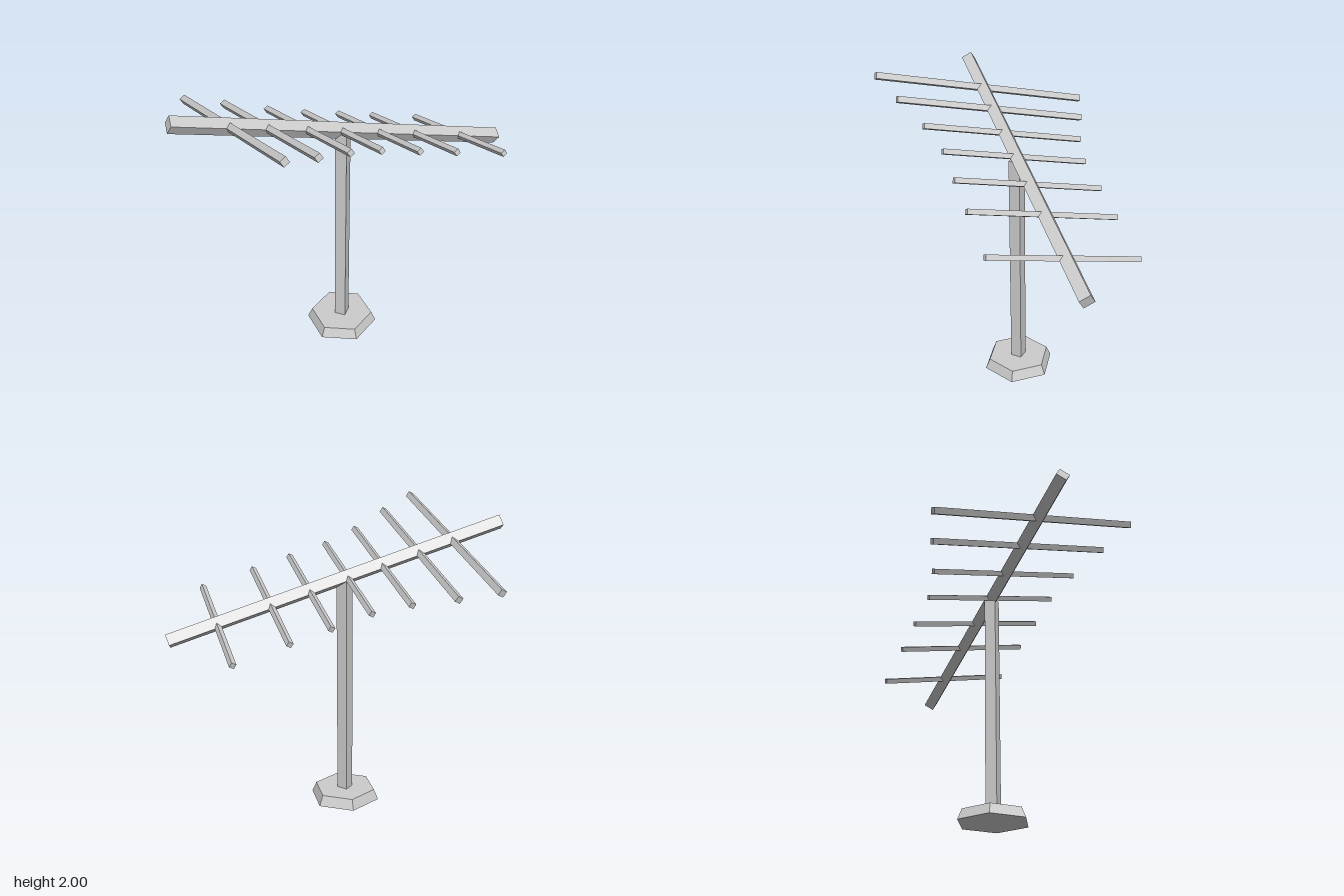
import * as THREE from 'three';

const material = new THREE.MeshStandardMaterial({ color: 0xcccccc, flatShading: true });
const rad = THREE.MathUtils.degToRad;
const YAW = rad(-27.4);

// Low-poly prism, upright by default
function prism(name, rTop, rBottom, length, sides) {
  const mesh = new THREE.Mesh(new THREE.CylinderGeometry(rTop, rBottom, length, sides), material);
  mesh.name = name;
  return mesh;
}

export function createModel() {
  const model = new THREE.Group();
  model.name = 'antenna';

  // Stand: hexagonal foot and square mast
  const stand = new THREE.Group();
  stand.name = 'stand';
  stand.position.set(-0.041, 0, 0.108);
  stand.rotation.y = YAW;
  const base = prism('base', 0.21, 0.24, 0.07, 6);
  base.position.y = 0.035;
  const mast = prism('mast', 0.053, 0.053, 1.5, 4);
  mast.position.y = 0.81;
  stand.add(base, mast);

  // Head: sloping boom, rolled sideways, with cross rods
  const head = new THREE.Group();
  head.name = 'head';
  head.position.set(0, 1.556, 0.122);
  head.rotation.set(rad(-15), YAW, rad(-16.6), 'YZX');
  const boom = prism('boom', 0.052, 0.052, 2.295, 4);
  boom.rotation.z = Math.PI / 2;
  head.add(boom);

  // Rods: [position along boom, length, radius]
  const rods = [
    [-0.795, 1.5, 0.029], [-0.556, 1.325, 0.027], [-0.3, 1.105, 0.024], [-0.062, 0.985, 0.023],
    [0.2, 0.99, 0.023], [0.466, 0.99, 0.023], [0.824, 0.99, 0.023],
  ];
  rods.forEach(([x, length, r], i) => {
    const rod = prism(`crossRod${i + 1}`, r, r, length, 4);
    rod.rotation.x = Math.PI / 2;
    rod.position.x = x;
    head.add(rod);
  });

  model.add(stand, head);
  return model;
}
